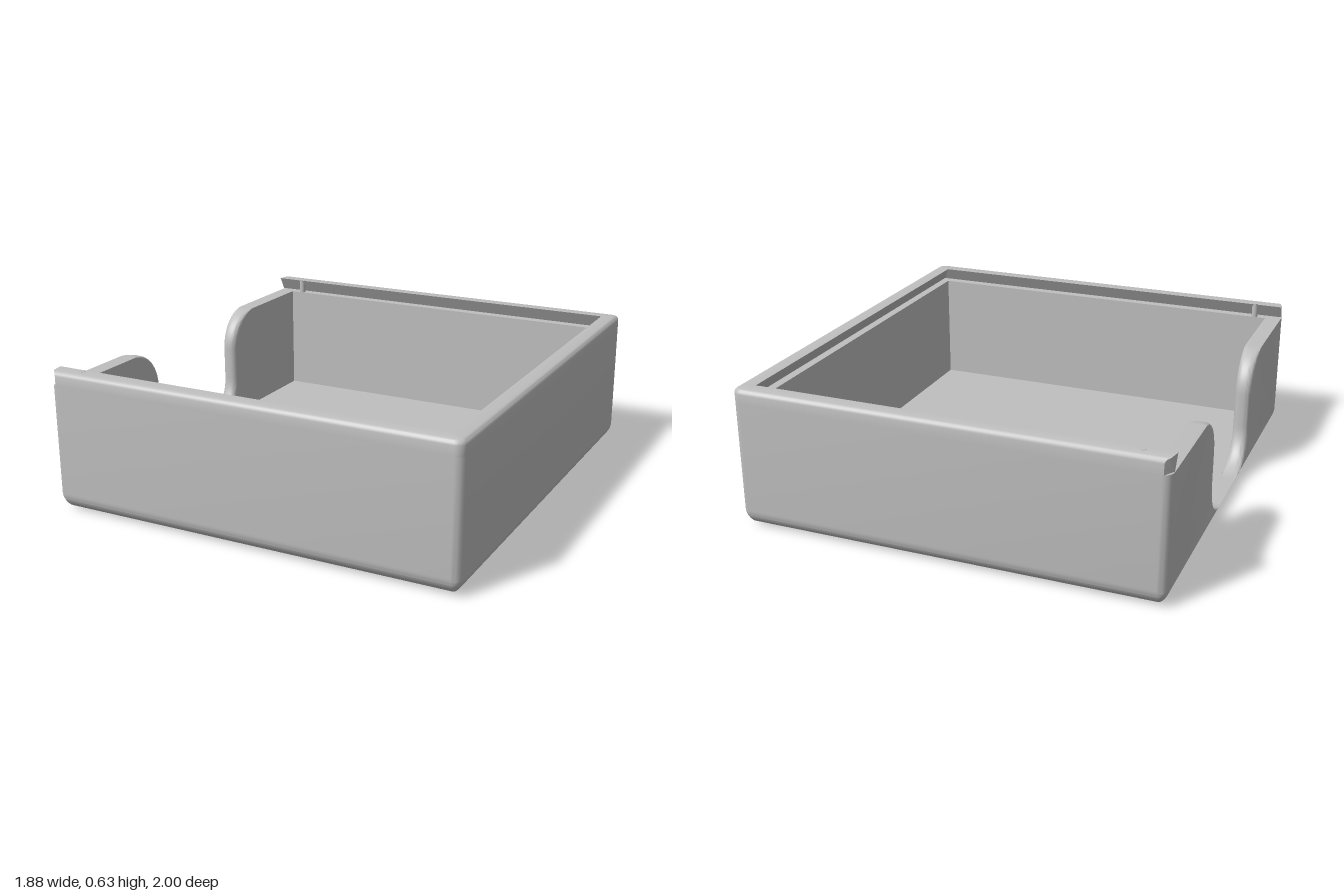
import * as THREE from 'three';
import { toCreasedNormals } from 'three/addons/utils/BufferGeometryUtils.js';

// Overall sizes: half width, half depth, height, and the levels of floor and lid ledge
const HX = 0.94, HZ = 1, TOP = 0.63, FLOOR = 0.05, LEDGE = 0.565;
const WALL = 0.075, CORNER = 0.04, FILLET = 0.08, EDGE = 0.03;

const V = (x, y, z) => new THREE.Vector3(x, y, z);

// Inset of the rounded bottom edge at a given height
const bottomInset = (y) =>
  y >= FILLET ? 0 : FILLET - Math.sqrt(FILLET ** 2 - (FILLET - y) ** 2);

// Points of one rounded corner in plan; k = 0..3 from front-left round to back-left
function corner(k, inset, y) {
  const sx = k === 1 || k === 2 ? 1 : -1, sz = k < 2 ? 1 : -1;
  const r = Math.max(CORNER - inset, 0), pts = [];
  for (let i = 0; i <= 6; i++) {
    const a = Math.PI - (k + i / 6) * Math.PI / 2;
    pts.push(V(sx * (HX - inset - r) + r * Math.cos(a), y, sz * (HZ - inset - r) + r * Math.sin(a)));
  }
  return pts;
}
const ring = (inset, y) => [0, 1, 2, 3].flatMap((k) => corner(k, inset, y));

// Skin a grid of rows, skipping collapsed triangles, plus optional end caps
function skin(rows, caps = []) {
  const pos = [];
  const tri = (a, b, c) => {
    const n = b.clone().sub(a).cross(c.clone().sub(a));
    if (n.length() > 1e-9) pos.push(...a, ...b, ...c);
  };
  for (let i = 0; i + 1 < rows.length; i++) {
    for (let j = 0; j + 1 < rows[i].length; j++) {
      const a = rows[i][j], b = rows[i][j + 1], c = rows[i + 1][j + 1], d = rows[i + 1][j];
      tri(a, b, c);
      tri(a, c, d);
    }
  }
  for (const { pts, flat } of caps) {
    for (const [a, b, c] of THREE.ShapeUtils.triangulateShape(flat, [])) tri(pts[a], pts[b], pts[c]);
  }
  const g = new THREE.BufferGeometry();
  g.setAttribute('position', new THREE.Float32BufferAttribute(pos, 3));
  return toCreasedNormals(g, 0.6);
}

// Bottom slab with a filleted lower edge
function baseGeometry() {
  const closed = (inset, y) => {
    const r = ring(inset, y);
    return [...r, r[0].clone()];
  };
  const n = closed(0, 0).length;
  const rows = [Array.from({ length: n }, () => V(0, 0, 0))];
  const end = Math.acos(1 - FLOOR / FILLET);
  for (let i = 0; i <= 10; i++) {
    const a = end * i / 10;
    rows.push(closed(FILLET * (1 - Math.sin(a)), FILLET * (1 - Math.cos(a))));
  }
  rows.push(Array.from({ length: n }, () => V(0, FLOOR, 0)));
  return skin(rows);
}

// Front, right and back walls up to the ledge, as one sweep
function wallGeometry() {
  const rows = [FLOOR, 0.06, 0.07, FILLET, LEDGE].map((y) => ring(bottomInset(y), y));
  rows.push(ring(WALL, LEDGE), ring(WALL, FLOOR));
  return skin(rows);
}

// Undercut rim that guides a sliding lid, open on the left side
function rimGeometry() {
  const profile = [[0, LEDGE], [0, 0.61], [0.003, 0.62], [0.01, 0.627], [0.02, TOP], [WALL, TOP], [0.04, LEDGE + 0.003]];
  const rows = profile.map(([inset, y]) => {
    const x = -HX + Math.max(0, 0.03 - inset);
    return [V(x, y, HZ - inset), ...corner(1, inset, y), ...corner(2, inset, y), V(x, y, -HZ + inset)];
  });
  const flat = profile.map(([i, y]) => new THREE.Vector2(i, y));
  const last = rows[0].length - 1;
  return skin(rows, [0, last].map((j) => ({ pts: rows.map((r) => r[j]), flat })));
}

// Half of the open side: S-shaped cutout with rounded edges
function cutoutWallGeometry() {
  const R = 0.18, zEnd = HZ - CORNER, N = 14;
  const curve = (depth) => {
    const pts = [];
    for (let i = 0; i <= N; i++) {
      const a = i / N * Math.PI / 2, r = R + depth * Math.sin(a);
      pts.push([0.14 + r * Math.sin(a), FLOOR + R - r * Math.cos(a)]);
    }
    for (let i = 0; i <= N; i++) {
      const a = i / N * Math.PI / 2, r = R - depth * Math.cos(a);
      pts.push([0.5 - r * Math.cos(a), LEDGE - R + r * Math.sin(a)]);
    }
    pts.push([zEnd, LEDGE]);
    return pts;
  };
  const half = [0, 0.002, 0.006, 0.012, 0.02, EDGE];
  const across = [...half, ...half.map((u) => WALL - u).reverse()];
  const rows = across.map((u) => {
    const e = Math.max(0, EDGE - Math.min(u, WALL - u));
    const depth = EDGE - Math.sqrt(EDGE ** 2 - e ** 2);
    return curve(depth).map(([z, y]) => V(-HX + Math.max(u, bottomInset(y)), y, z));
  });
  const caps = [0, rows.length - 1].map((k) => {
    const foot = [FILLET, 0.065, FLOOR].map((y) => V(k ? -HX + WALL : -HX + bottomInset(y), y, zEnd));
    const pts = [...rows[k], ...foot];
    return { pts, flat: pts.map((p) => new THREE.Vector2(p.z, p.y)) };
  });
  return skin(rows, caps);
}

export function createModel() {
  const model = new THREE.Group();
  model.name = 'slidingLidBox';
  const grey = new THREE.MeshStandardMaterial({ color: 0xbfbfbf, side: THREE.DoubleSide });
  grey.name = 'grey';
  const add = (name, geometry) => {
    const mesh = new THREE.Mesh(geometry, grey);
    mesh.name = name;
    model.add(mesh);
    return mesh;
  };

  add('base', baseGeometry());
  add('walls', wallGeometry());
  add('lidRim', rimGeometry());

  // Mirrored parts: open-side walls and the small lid catches
  const side = cutoutWallGeometry();
  const pin = new THREE.CylinderGeometry(0.015, 0.015, TOP - LEDGE + 0.001, 20);
  for (const s of [1, -1]) {
    const label = s > 0 ? 'front' : 'back';
    add(label + 'CutoutWall', side).scale.z = s;
    add(label + 'LidCatch', pin).position.set(-0.81, (TOP + LEDGE + 0.001) / 2, s * 0.94);
  }
  return model;
}
